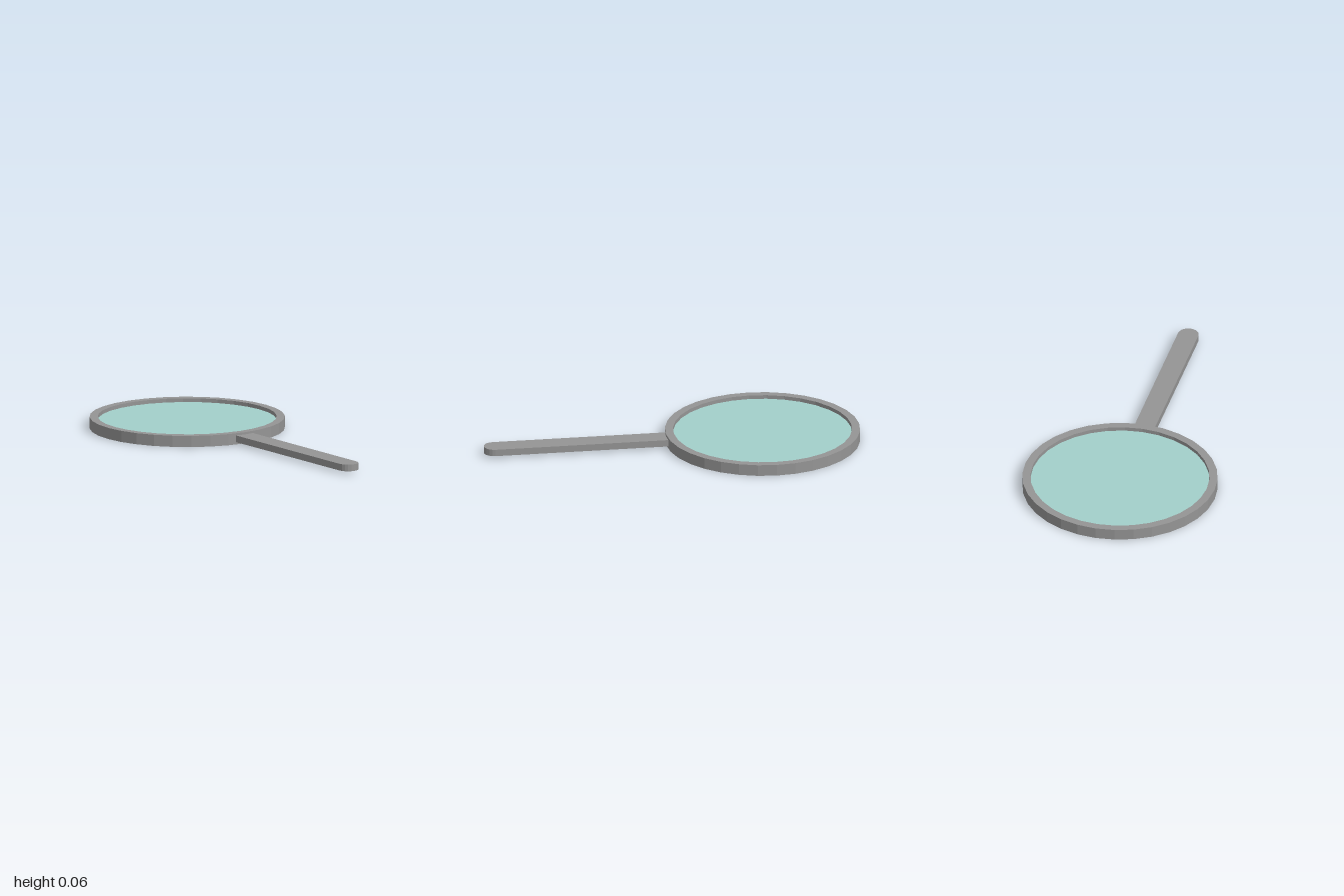
import * as THREE from 'three';

const RING_Z = -0.485, OUTER = 0.515, INNER = 0.472, SIDES = 32;

// Extrudes an outline lying in the ground plane (shape y points to -z) from y0 to y1
function slab(name, shape, y0, y1, curveSegments, material) {
  const geometry = new THREE.ExtrudeGeometry(shape, { depth: y1 - y0, bevelEnabled: false, curveSegments });
  geometry.rotateX(-Math.PI / 2).translate(0, y0, 0);
  const mesh = new THREE.Mesh(geometry, material);
  mesh.name = name;
  return mesh;
}

export function createModel() {
  const frameGrey = new THREE.MeshStandardMaterial({ name: 'frameGrey', color: 0x959595, flatShading: true });
  const lensTeal = new THREE.MeshStandardMaterial({ name: 'lensTeal', color: 0xa2cfca, flatShading: true });
  const group = new THREE.Group();
  group.name = 'magnifyingGlass';

  // Round rim with an open centre
  const ring = new THREE.Shape().absarc(0, -RING_Z, OUTER, 0, Math.PI * 2, false);
  ring.holes.push(new THREE.Path().absarc(0, -RING_Z, INNER, 0, Math.PI * 2, true));
  group.add(slab('rim', ring, 0, 0.06, SIDES / 2, frameGrey));

  // Lens recessed on both sides of the rim
  const lens = new THREE.Mesh(new THREE.CylinderGeometry(INNER, INNER, 0.02, SIDES), lensTeal);
  lens.position.set(0, 0.03, RING_Z);
  lens.name = 'lens';
  group.add(lens);

  // Flat handle with a rounded end, rooted inside the rim
  const half = 0.055;
  const handle = new THREE.Shape();
  handle.moveTo(half, 0);
  handle.lineTo(-half, 0);
  handle.lineTo(-half, -1 + half);
  handle.absarc(0, -1 + half, half, Math.PI, Math.PI * 2, false);
  handle.closePath();
  group.add(slab('handle', handle, 0.012, 0.048, 5, frameGrey));

  return group;
}
